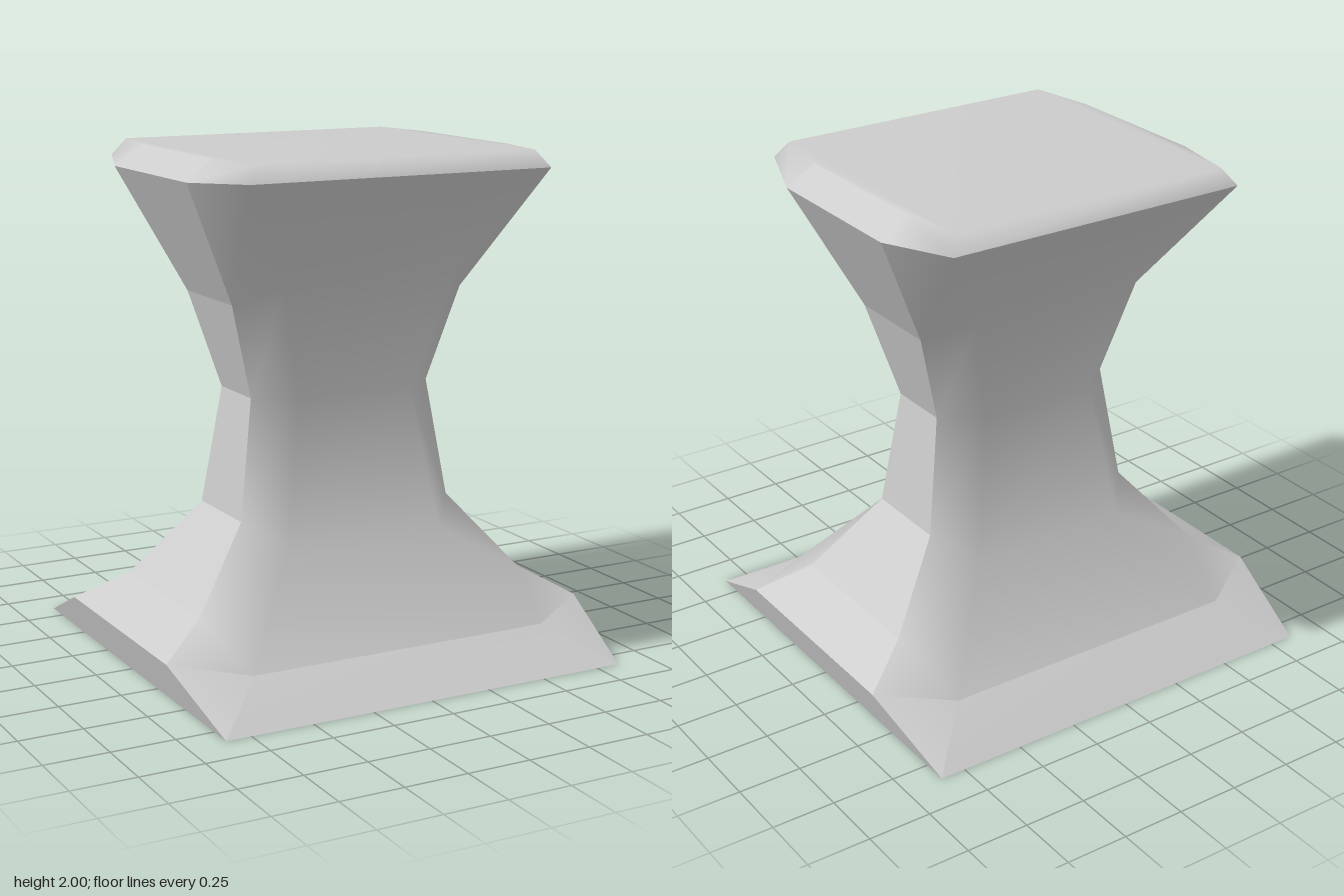
import * as THREE from 'three';

// Profile of the front corners: [x = z, y]
const corner = [[0.85, 0], [0.63, 0.135], [0.63, 0.135], [0.335, 0.5], [0.245, 1.06], [0.37, 1.52], [0.63, 1.935], [0.585, 2]];
// Profile of the side strip edges: [x, y, z]
const side = [[0.85, 0, 0.85], [0.905, 0.17, 0.46], [0.71, 0.285, 0.335], [0.46, 0.585, 0.18],
  [0.39, 1.055, 0.13], [0.5, 1.435, 0.2], [0.74, 1.92, 0.335], [0.63, 2, 0.315]];

// Skins a grid of points: rows run upward, columns run left to right seen from outside
function skin(rows) {
  const n = rows[0].length, index = [];
  for (let r = 0; r < rows.length - 1; r++) {
    for (let c = 0; c < n - 1; c++) {
      const a = r * n + c, b = a + 1, d = a + n, e = d + 1;
      // Mirror the diagonals about the middle column
      if (c < (n - 1) / 2) index.push(a, b, e, a, e, d);
      else index.push(a, b, d, b, e, d);
    }
  }
  const geometry = new THREE.BufferGeometry();
  geometry.setAttribute('position', new THREE.Float32BufferAttribute(rows.flat(2), 3));
  geometry.setIndex(index);
  geometry.computeVertexNormals();
  return geometry;
}

// One level of the front half; sz = -1 gives the matching back points
function level(i, sz = 1) {
  const [x, y, z] = side[i], [k, h] = corner[i];
  return [[-x, y, z * sz], [-k, h, k * sz], [k, h, k * sz], [x, y, z * sz]];
}

export function createModel() {
  const group = new THREE.Group();
  const smooth = new THREE.MeshStandardMaterial({ color: 0xcccccc, side: THREE.DoubleSide });
  const flat = new THREE.MeshStandardMaterial({ color: 0xcccccc, flatShading: true, side: THREE.DoubleSide });
  const add = (name, geometry, material, turn = 0) => {
    const mesh = new THREE.Mesh(geometry, material);
    mesh.name = name;
    mesh.rotation.y = turn;
    group.add(mesh);
  };

  // Smooth front and back faces with their chamfered corners
  const face = skin([0, 1, 2, 3, 4, 5, 6].map(i => level(i)));
  add('frontFace', face, smooth);
  add('backFace', face, smooth, Math.PI);

  // Faceted strips down both sides, including the bevel at the top
  const strip = skin(side.map(([x, y, z]) => [[x, y, z], [x, y, -z]]));
  add('leftStrip', strip, flat);
  add('rightStrip', strip, flat, Math.PI);

  // Seat top with its soft bevels
  add('seatTop', skin([level(6), level(7), level(7, -1), level(6, -1)]), smooth);

  // Underside
  add('underside', new THREE.PlaneGeometry(1.7, 1.7).rotateX(Math.PI / 2), flat);
  return group;
}
